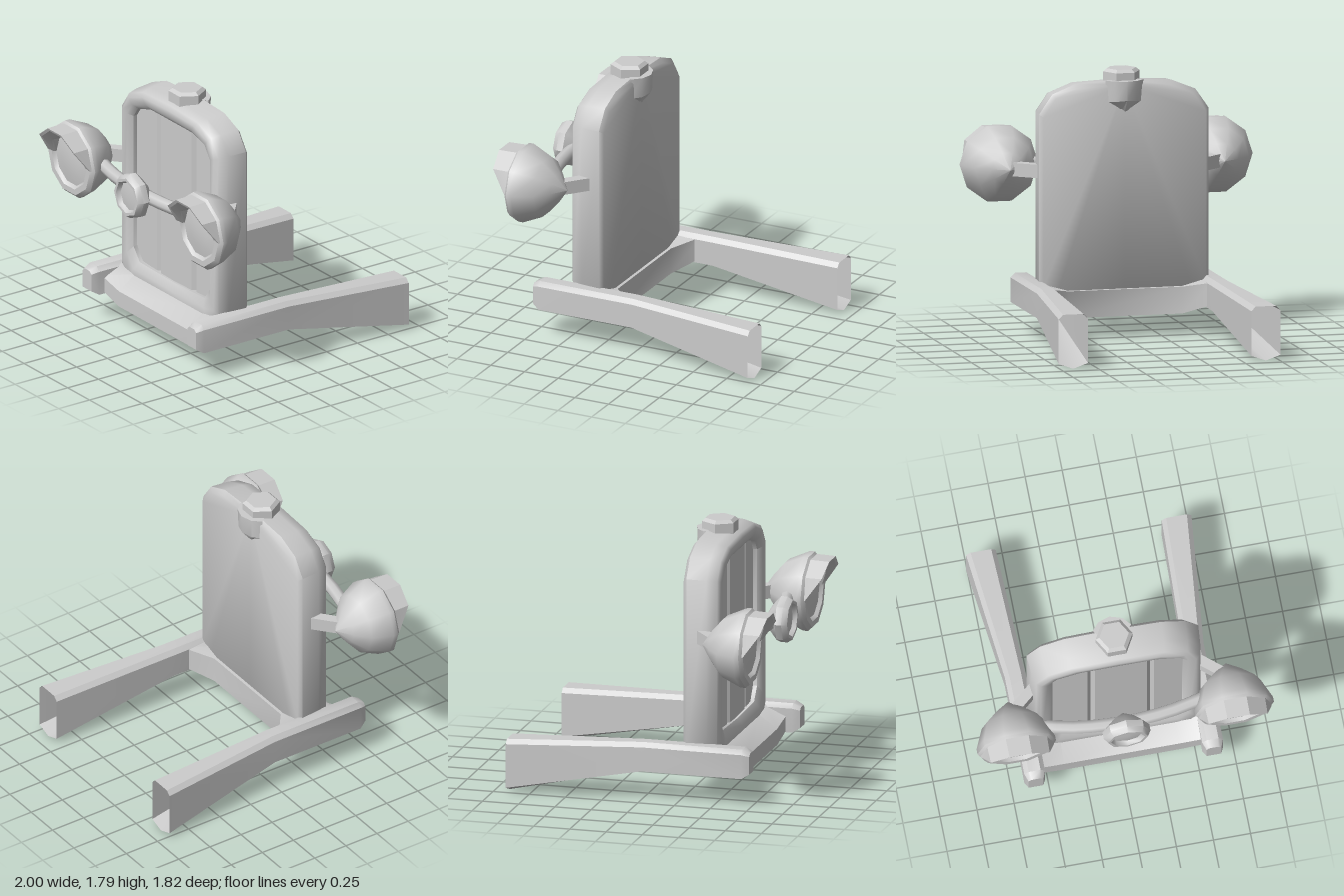
import * as THREE from 'three';
import { toCreasedNormals } from 'three/addons/utils/BufferGeometryUtils.js';

const grey = new THREE.MeshStandardMaterial({ color: 0xcccccc, side: THREE.DoubleSide });

function addMesh(parent, name, geometry, crease = 0.7) {
  const mesh = new THREE.Mesh(toCreasedNormals(geometry, crease), grey);
  mesh.name = name;
  parent.add(mesh);
  return mesh;
}

// Skin between rows of points; closed rows wrap round, caps fill the end rows
function loft(rows, { closed = true, capStart = false, capEnd = false } = {}) {
  const n = rows[0].length;
  const pos = rows.flat(2);
  const index = [];
  for (let r = 0; r < rows.length - 1; r++) {
    for (let i = 0; i < (closed ? n : n - 1); i++) {
      const a = r * n + i, b = r * n + (i + 1) % n;
      index.push(a, b, b + n, a, b + n, a + n);
    }
  }
  const last = (rows.length - 1) * n;
  for (let i = 1; i < n - 1; i++) {
    if (capStart) index.push(0, i + 1, i);
    if (capEnd) index.push(last, last + i, last + i + 1);
  }
  const g = new THREE.BufferGeometry();
  g.setAttribute('position', new THREE.Float32BufferAttribute(pos, 3));
  g.setIndex(index);
  return g.toNonIndexed();
}

// Lathe whose axis points forward; profile is [radius, z]
function forwardLathe(profile, sides, start) {
  const pts = profile.map(([r, z]) => new THREE.Vector2(r, z));
  return new THREE.LatheGeometry(pts, sides, start).rotateX(Math.PI / 2);
}

// Full symmetric outline from its right half (first and last points on x = 0)
const mirrorOutline = half => [
  ...half, ...half.slice(1, -1).reverse().map(([x, y]) => [-x, y])];

function radiator() {
  const group = new THREE.Group();
  group.name = 'radiator';
  const outer = mirrorOutline([[0, 1.73], [0.33, 1.715], [0.49, 1.65], [0.58, 1.52],
    [0.58, 0.33], [0.5, 0.23], [0, 0.23]]);
  const inner = mirrorOutline([[0, 1.585], [0.24, 1.585], [0.39, 1.54], [0.44, 1.47],
    [0.44, 0.53], [0.37, 0.44], [0, 0.43]]);
  const at = (pts, z, k = 1) => pts.map(([x, y]) => [x * k, 0.98 + (y - 0.98) * k, z]);
  const mix = (t, z) => outer.map(([x, y], i) =>
    [x + (inner[i][0] - x) * t, y + (inner[i][1] - y) * t, z]);
  addMesh(group, 'radiatorShell', loft([
    at(outer, 0.26, 0.96), at(outer, 0.285), mix(0.08, 0.42), mix(0.2, 0.49),
    mix(0.4, 0.51), mix(0.75, 0.505), at(inner, 0.475), at(inner, 0.42),
  ], { capStart: true }), 0.9);

  // Grille panel with two shallow vertical folds
  const folds = [[-0.46, 0.445], [-0.2, 0.455], [-0.175, 0.435], [-0.15, 0.46],
    [0.2, 0.46], [0.225, 0.435], [0.25, 0.455], [0.46, 0.445]];
  addMesh(group, 'grille', loft([0.41, 1.6].map(y => folds.map(([x, z]) => [x, y, z])),
    { closed: false }), 0.2);

  // Hexagonal filler cap
  const cap = new THREE.LatheGeometry([[0.125, 1.69], [0.125, 1.78], [0.1, 1.8], [0, 1.8]]
    .map(p => new THREE.Vector2(...p)), 6, Math.PI / 2);
  addMesh(group, 'fillerCap', cap, 0.5).position.z = 0.35;

  // Pointed spout on the back of the shell
  const spout = [[-0.13, 0.27], [-0.08, 0.215], [0, 0.19], [0.08, 0.215], [0.13, 0.27]];
  addMesh(group, 'spout', loft([
    spout.map(([x, z]) => [x * 0.8, 1.73, 0.3]),
    spout.map(([x, z]) => [x, 1.73, z]),
    spout.map(([x, z]) => [x * 0.95, 1.6 - Math.abs(x) * 0.1, z + 0.005]),
    spout.map(([x]) => [x * 0.25, 1.5 + Math.abs(x) * 0.25, 0.275]),
  ], { closed: false }), 0.7);
  return group;
}

// Chassis rail, open at the rear, flaring outward and down
function rail(s) {
  const section = (x0, x1, y0, y1, z, c, dip = 0) => [
    [x0, y0 + dip], [(x0 + x1) / 2, y0], [x1, y0 + dip], [x1, y1 - c],
    [x1 - c, y1], [x0 + c, y1], [x0, y1 - c]].map(([x, y]) => [s * x, y, z]);
  return loft([
    section(0.55, 0.65, 0.23, 0.37, 0.74, 0.02),
    section(0.53, 0.67, 0.2, 0.395, 0.69, 0.03),
    section(0.53, 0.67, 0.2, 0.395, 0, 0.03),
    section(0.56, 0.76, 0.005, 0.37, -0.91, 0.03, 0.035),
  ], { capStart: true });
}

// Cross-member that drops between the rails and widens where it meets them
function crossMember() {
  const end = [[0.11, 0.22], [0.65, 0.22], [0.65, 0.32], [0.5, 0.385], [0.11, 0.37]];
  const mid = [[0.24, 0.15], [0.63, 0.15], [0.63, 0.26], [0.5, 0.35], [0.24, 0.33]];
  const row = (x, pts) => pts.map(([z, y]) => [x, y, z]);
  return loft([row(-0.56, end), row(-0.39, mid), row(0.39, mid), row(0.56, end)],
    { capStart: true, capEnd: true });
}

function headlamp(s) {
  const group = new THREE.Group();
  group.name = s > 0 ? 'leftHeadlamp' : 'rightHeadlamp';
  group.position.set(s * 0.735, 1.125, 0);
  addMesh(group, 'lampShell', forwardLathe([[0, 0.44], [0.11, 0.515], [0.205, 0.595],
    [0.265, 0.73], [0.265, 0.765], [0.24, 0.79], [0.2, 0.79], [0.18, 0.765]],
  10, Math.PI / 2), 0.75);
  addMesh(group, 'lampLens', forwardLathe([[0.19, 0.765], [0.1, 0.78], [0, 0.785]],
    10, Math.PI / 2));

  // Eyelid visor over the upper half, longest at the top
  const ring = (radius, z) => [0, 1, 2, 3, 4, 5].map(i => {
    const a = i * Math.PI / 5;
    const reach = [0, 0.85, 1, 1, 0.85, 0][i];
    return [radius * Math.cos(a), radius * Math.sin(a), z(reach)];
  });
  addMesh(group, 'visor', loft([
    ring(0.25, () => 0.77), ring(0.245, t => 0.79 + 0.12 * t),
    ring(0.225, t => 0.79 + 0.11 * t), ring(0.18, t => 0.785 + 0.045 * t),
    ring(0.175, () => 0.76),
  ], { closed: false }), 0.5);
  return group;
}

export function createModel() {
  const model = new THREE.Group();
  model.name = 'carFrontEnd';
  model.add(radiator());
  addMesh(model, 'crossMember', crossMember());

  for (const s of [1, -1]) {
    const side = s > 0 ? 'left' : 'right';
    addMesh(model, side + 'Rail', rail(s));
    model.add(headlamp(s));
    // Bracket from the shell to the back of the lamp
    const bracket = addMesh(model, side + 'LampBracket',
      new THREE.BoxGeometry(0.24, 0.09, 0.07));
    bracket.position.set(s * 0.63, 1.125, 0.45);
    bracket.rotation.y = -s * 0.7;
  }

  // Bowed bar joining the headlamps
  const bow = new THREE.CatmullRomCurve3([[-0.56, 0.65], [-0.3, 0.705], [0, 0.725],
    [0.3, 0.705], [0.56, 0.65]].map(([x, z]) => new THREE.Vector3(x, 1.13, z)));
  addMesh(model, 'lampBar', new THREE.TubeGeometry(bow, 10, 0.045, 8), 1);

  // Small centre lamp
  const centre = new THREE.Group();
  centre.name = 'centreLamp';
  centre.position.y = 1.13;
  addMesh(centre, 'lampShell', forwardLathe([[0, 0.66], [0.09, 0.71], [0.158, 0.77],
    [0.158, 0.815], [0.135, 0.85], [0.115, 0.85], [0.1, 0.82]], 8, 0), 0.75);
  addMesh(centre, 'lampLens', forwardLathe([[0.105, 0.82], [0, 0.835]], 8, 0));
  model.add(centre);
  return model;
}
